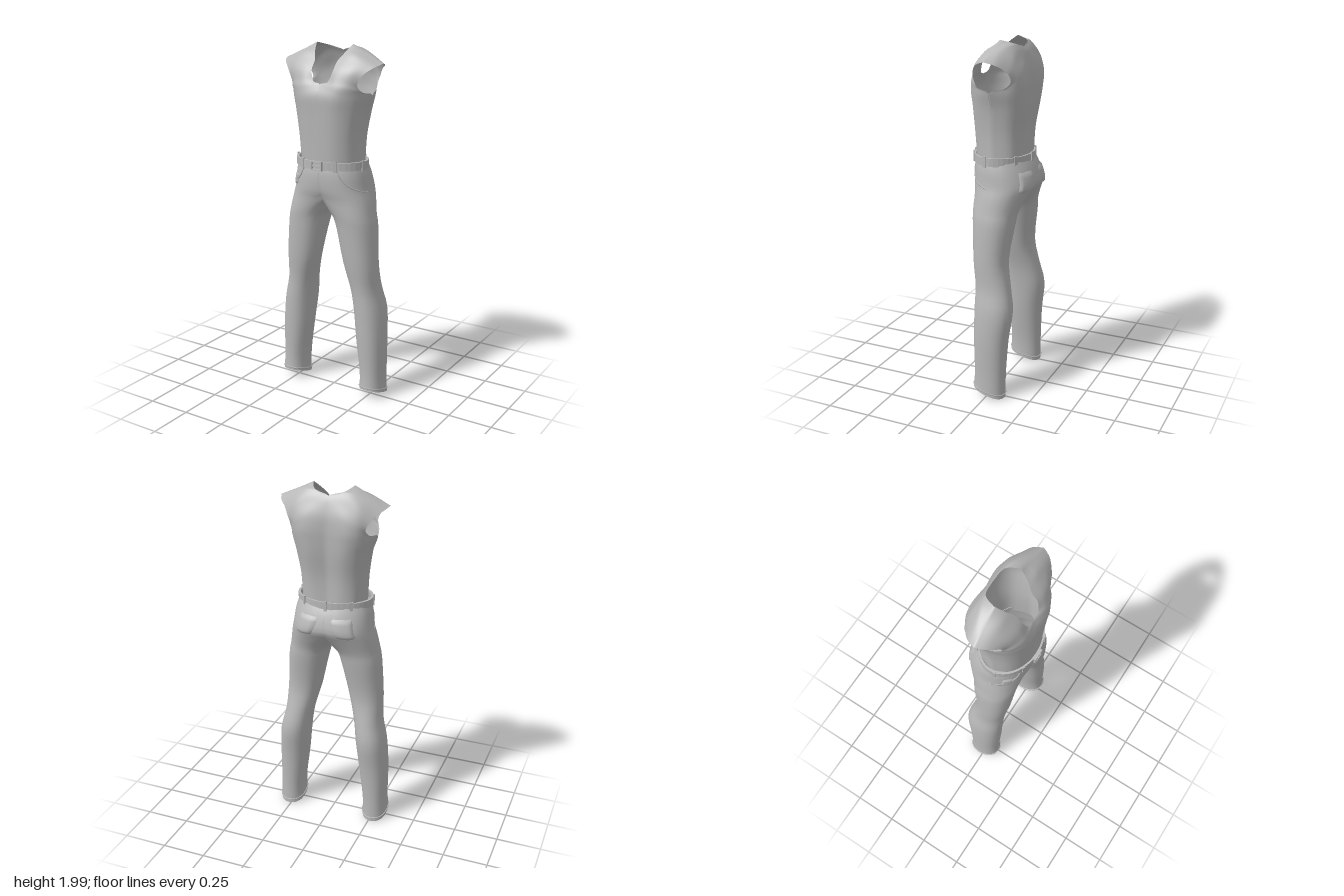
import * as THREE from 'three';
import { mergeGeometries, mergeVertices } from 'three/addons/utils/BufferGeometryUtils.js';

const cloth = new THREE.MeshStandardMaterial({ color: 0xb8b8b8, side: THREE.DoubleSide });
cloth.name = 'grey cloth';

// Smooth interpolation through a list of rows of numbers
function sample(rows, t) {
  const n = rows.length - 1, i = Math.min(Math.floor(t), n - 1), f = t - i;
  const at = k => rows[Math.max(0, Math.min(n, k))];
  return rows[0].map((_, k) => {
    const a = at(i - 1)[k], b = at(i)[k], c = at(i + 1)[k], d = at(i + 2)[k];
    return b + 0.5 * f * (c - a + f * (2 * a - 5 * b + 4 * c - d + f * (3 * (b - c) + d - a)));
  });
}

// Grid surface; faces lying on the centre plane are left out
function grid(point, nu, nv, flip = false) {
  const pos = [], index = [];
  for (let v = 0; v <= nv; v++) for (let u = 0; u <= nu; u++) pos.push(...point(u / nu, v / nv));
  const add = (a, b, c) => {
    if ([a, b, c].every(i => pos[i * 3] < 1e-4)) return;
    index.push(...(flip ? [a, c, b] : [a, b, c]));
  };
  for (let v = 0; v < nv; v++) for (let u = 0; u < nu; u++) {
    const a = v * (nu + 1) + u, b = a + nu + 1;
    add(a, a + 1, b);
    add(a + 1, b + 1, b);
  }
  const g = new THREE.BufferGeometry();
  g.setAttribute('position', new THREE.Float32BufferAttribute(pos, 3));
  g.setIndex(index);
  return g;
}

function mirrored(g) {
  const m = g.clone().scale(-1, 1, 1), ix = m.index.array;
  for (let i = 0; i < ix.length; i += 3) [ix[i], ix[i + 1]] = [ix[i + 1], ix[i]];
  return m;
}

// Weld both halves of a garment into one smooth skin
function weld(halves) {
  const g = mergeVertices(mergeGeometries([...halves, ...halves.map(mirrored)]), 1e-3);
  g.computeVertexNormals();
  return g;
}

// Shirt rows from hem to shoulder: four x, y, z points from centre or neckline to side or armhole
const shoulder = [0.115, 1.995, -0.01, 0.175, 1.965, -0.01, 0.24, 1.935, -0.005, 0.305, 1.905, 0];
const shirtFront = [
  [0, 1.34, 0.155, 0.08, 1.34, 0.145, 0.15, 1.34, 0.095, 0.188, 1.34, 0.01],
  [0, 1.5, 0.162, 0.09, 1.5, 0.152, 0.16, 1.5, 0.1, 0.19, 1.5, 0.01],
  [0, 1.64, 0.168, 0.1, 1.64, 0.16, 0.18, 1.64, 0.1, 0.21, 1.64, 0],
  [0, 1.73, 0.17, 0.11, 1.72, 0.165, 0.195, 1.72, 0.1, 0.24, 1.735, 0],
  [0, 1.79, 0.143, 0.1, 1.77, 0.16, 0.175, 1.77, 0.13, 0.222, 1.755, 0.07],
  [0.045, 1.805, 0.135, 0.1, 1.81, 0.145, 0.165, 1.805, 0.13, 0.205, 1.79, 0.1],
  [0.066, 1.86, 0.118, 0.115, 1.865, 0.12, 0.175, 1.855, 0.115, 0.22, 1.83, 0.1],
  [0.07, 1.91, 0.08, 0.13, 1.915, 0.08, 0.195, 1.895, 0.085, 0.25, 1.865, 0.08],
  [0.095, 1.955, 0.04, 0.155, 1.95, 0.045, 0.22, 1.925, 0.045, 0.285, 1.89, 0.045],
  shoulder,
];
const shirtBack = [
  [0, 1.34, -0.115, 0.08, 1.34, -0.12, 0.15, 1.34, -0.085, 0.188, 1.34, 0.01],
  [0, 1.5, -0.115, 0.09, 1.5, -0.125, 0.16, 1.5, -0.085, 0.19, 1.5, 0.01],
  [0, 1.64, -0.13, 0.1, 1.64, -0.147, 0.18, 1.64, -0.1, 0.21, 1.64, 0],
  [0, 1.72, -0.137, 0.11, 1.72, -0.155, 0.195, 1.72, -0.11, 0.24, 1.735, 0],
  [0, 1.78, -0.14, 0.11, 1.78, -0.158, 0.185, 1.77, -0.13, 0.222, 1.755, -0.07],
  [0, 1.85, -0.137, 0.1, 1.85, -0.147, 0.17, 1.82, -0.14, 0.21, 1.79, -0.11],
  [0, 1.92, -0.115, 0.09, 1.91, -0.12, 0.175, 1.88, -0.12, 0.225, 1.83, -0.11],
  [0, 1.952, -0.096, 0.1, 1.955, -0.095, 0.18, 1.92, -0.095, 0.25, 1.865, -0.085],
  [0.08, 1.975, -0.08, 0.14, 1.972, -0.065, 0.215, 1.94, -0.05, 0.285, 1.89, -0.05],
  shoulder,
];
const panel = (rows, flip) => grid((u, v) => {
  const r = sample(rows, v * (rows.length - 1));
  return sample([0, 3, 6, 9].map(k => r.slice(k, k + 3)), u * 3);
}, 12, 36, flip);

// Left trouser half: height, inner x, outer x, front z, back z, slope of the ring
const legRows = [
  [1.36, -0.2, 0.2, 0.15, -0.135, 0],
  [1.3, -0.21, 0.215, 0.16, -0.165, 0],
  [1.22, -0.16, 0.225, 0.155, -0.183, 0],
  [1.16, -0.08, 0.24, 0.14, -0.155, 0],
  [1.08, 0.012, 0.255, 0.133, -0.12, 0],
  [1.0, 0.045, 0.27, 0.125, -0.108, 0],
  [0.8, 0.09, 0.283, 0.11, -0.082, 0],
  [0.65, 0.13, 0.29, 0.092, -0.108, 0],
  [0.52, 0.148, 0.318, 0.09, -0.13, 0],
  [0.35, 0.165, 0.33, 0.087, -0.11, 0],
  [0.15, 0.19, 0.33, 0.08, -0.1, 0.1],
  [0.035, 0.19, 0.335, 0.085, -0.1, 0.3],
];
function legPoint(t, angle, off = 0) {
  const [y, x0, x1, z1, z0, slope] = sample(legRows, t);
  const round = a => Math.sign(a) * Math.abs(a) ** 0.9;
  const x = (x0 + x1) / 2 + ((x1 - x0) / 2 + off) * round(Math.cos(angle));
  const z = (z0 + z1) / 2 + ((z1 - z0) / 2 + off) * round(Math.sin(angle));
  return [Math.max(0, x), y + slope * z, z];
}

export function createModel() {
  const model = new THREE.Group();
  const add = (name, geometry, parent = model) => {
    const mesh = new THREE.Mesh(geometry, cloth);
    mesh.name = name;
    parent.add(mesh);
    return mesh;
  };

  add('shirt', weld([panel(shirtFront, false), panel(shirtBack, true)]));
  add('trousers', weld([grid((u, v) => legPoint(v * 11, u * Math.PI * 2), 24, 33)]));

  // Patch lying on the trousers, thickest in the middle and tucked in at its edges
  const patch = (t0, t1, a0, a1, lift) => {
    const g = grid((u, v) => {
      const edge = u === 0 || u === 1 || v === 0 || v === 1;
      const point = 0.12 * (1 - Math.abs(2 * u - 1)) * v;
      return legPoint(t0 + (t1 - t0) * v + point, a0 + (a1 - a0) * u, edge ? -0.002 : lift);
    }, 8, 8);
    g.computeVertexNormals();
    return g;
  };
  const seam = points => new THREE.TubeGeometry(new THREE.CatmullRomCurve3(
    points.map(([t, a]) => new THREE.Vector3(...legPoint(t, a, 0.001)))), 20, 0.004, 5);

  // Pockets and seams on both sides
  for (const side of [1, -1]) {
    const details = new THREE.Group();
    details.name = side > 0 ? 'leftPockets' : 'rightPockets';
    details.scale.x = side;
    add('backPocket', patch(1, 2.45, -1.45, -0.85, 0.007), details);
    add('frontPocketSeam', seam([[0.5, 1.08], [1.2, 0.98], [1.8, 0.65], [2.2, 0.15]]), details);
    add('hemSeam', seam(Array.from({ length: 25 }, (_, i) => [10.75, i * Math.PI / 12])), details);
    if (side < 0) add('coinPocket', patch(1.2, 1.9, 0.5, 0.85, 0.006), details);
    model.add(details);
  }

  // Belt band
  const profile = [[0.199, 1.335], [0.212, 1.335], [0.212, 1.38], [0.199, 1.38], [0.199, 1.335]];
  const band = new THREE.LatheGeometry(profile.map(p => new THREE.Vector2(...p)), 40).toNonIndexed();
  band.scale(1, 1, 0.75).translate(0, 0, 0.014).computeVertexNormals();
  add('belt', band);

  // Belt loops around the band
  for (const a of [0.5, 1.4, 2.45, Math.PI, -2.45, -1.4, -0.5]) {
    const loop = add('beltLoop', new THREE.BoxGeometry(0.016, 0.06, 0.008));
    loop.position.set(0.213 * Math.sin(a), 1.358, 0.014 + 0.16 * Math.cos(a));
    loop.rotation.y = Math.atan2(Math.sin(a) * 0.75, Math.cos(a));
  }

  // Buckle frame with a prong
  const frame = new THREE.Shape([[-1, -1], [1, -1], [1, 1], [-1, 1]].map(
    ([x, y]) => new THREE.Vector2(x * 0.034, y * 0.026)));
  frame.holes.push(new THREE.Path([[-1, -1], [-1, 1], [1, 1], [1, -1]].map(
    ([x, y]) => new THREE.Vector2(x * 0.026, y * 0.018))));
  add('buckle', new THREE.ExtrudeGeometry(frame, { depth: 0.012, bevelEnabled: false }))
    .position.set(0, 1.358, 0.172);
  add('buckleProng', new THREE.BoxGeometry(0.056, 0.008, 0.008)).position.set(0, 1.358, 0.179);

  return model;
}
